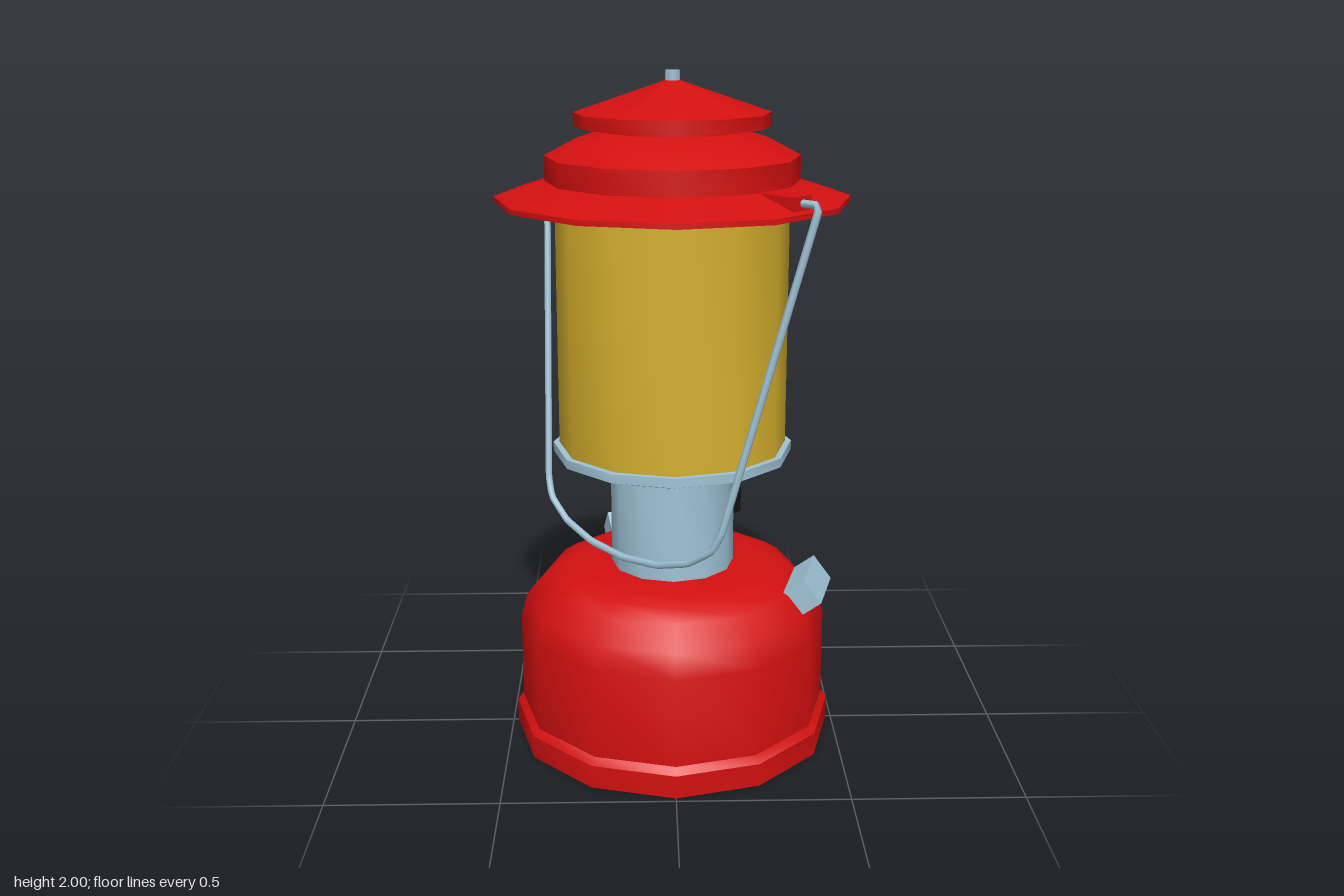
import * as THREE from 'three';
import { toCreasedNormals } from 'three/addons/utils/BufferGeometryUtils.js';

const material = (name, color) => {
  const m = new THREE.MeshStandardMaterial({ color });
  m.name = name;
  return m;
};

export function createModel() {
  const red = material('red enamel', 0xd41010);
  const steel = material('pale steel', 0x9fc3d6);
  const amber = material('amber glass', 0xd6b02e);
  const black = material('black rubber', 0x111111);

  const lantern = new THREE.Group();
  lantern.name = 'lantern';

  const add = (name, geometry, mat, parent = lantern) => {
    const mesh = new THREE.Mesh(geometry, mat);
    mesh.name = name;
    parent.add(mesh);
    return mesh;
  };
  // twelve-sided turned part, profile listed from bottom to top
  const turned = (name, mat, profile) => {
    const points = profile.map(([r, y]) => new THREE.Vector2(r, y));
    return add(name, toCreasedNormals(new THREE.LatheGeometry(points, 12), 0.62), mat);
  };
  // group turned so that its +z points outward at the given angle
  const facing = (name, angle) => {
    const g = new THREE.Group();
    g.name = name;
    g.rotation.y = angle;
    lantern.add(g);
    return g;
  };

  // Fuel tank with foot rim and rounded shoulder
  turned('fuelTank', red, [
    [0, 0], [0.485, 0], [0.485, 0.07], [0.466, 0.09], [0.466, 0.36],
    [0.445, 0.43], [0.39, 0.495], [0.345, 0.525], [0.29, 0.54], [0, 0.54],
  ]);

  // Column and flared globe seat
  turned('burnerColumn', steel, [
    [0.185, 0.53], [0.185, 0.83], [0.355, 0.89], [0.355, 0.917], [0, 0.917],
  ]);

  // Globe
  turned('glassGlobe', amber, [[0.337, 0.915], [0.337, 1.645]]);

  // Hood: brim, raised drum and neck
  turned('hood', red, [
    [0, 1.635], [0.51, 1.635], [0.51, 1.65], [0.365, 1.695], [0.365, 1.765],
    [0.27, 1.815], [0.205, 1.835], [0.205, 1.85],
  ]);
  turned('hoodCap', red, [[0, 1.847], [0.28, 1.847], [0.28, 1.885], [0.02, 1.973], [0, 1.975]]);
  turned('topNut', steel, [[0.021, 1.96], [0.021, 2], [0, 2]]);

  // Lugs holding the bail on the brim
  for (const angle of [Math.PI / 4, Math.PI * 1.25]) {
    const lug = add('bailLug', new THREE.BoxGeometry(0.075, 0.045, 0.13), red, facing('lugMount', angle));
    lug.position.set(0, 1.672, 0.41);
  }

  // Wire bail hanging to one side; s runs lug to lug, t is the sideways tilt
  const at = (s, y, t) => new THREE.Vector3((s - t) * Math.SQRT1_2, y, (s + t) * Math.SQRT1_2);
  const path = [at(-0.46, 1.675, 0), at(-0.525, 1.675, 0), at(-0.53, 1.655, 0.005)];
  for (let i = 0; i <= 8; i++) {
    const a = (i / 8) * Math.PI;
    path.push(at(-0.36 * Math.cos(a), 0.77 - 0.165 * Math.sin(a), 0.177 + 0.033 * Math.sin(a)));
  }
  path.push(at(0.53, 1.655, 0.005), at(0.525, 1.675, 0), at(0.46, 1.675, 0));
  const bail = new THREE.CatmullRomCurve3(path, false, 'catmullrom', 0.05);
  add('wireBail', new THREE.TubeGeometry(bail, 140, 0.011, 6), steel);

  // Valve knob on the column
  const knob = add('valveKnob', new THREE.BoxGeometry(0.105, 0.095, 0.085), black, facing('knobMount', Math.PI * 0.75));
  knob.position.set(0, 0.688, 0.212);

  // Filler cap and pump block on the tank shoulder, tilted outward
  for (const [name, degrees] of [['fillerCap', 75], ['pumpBlock', 195]]) {
    const block = add(name, new THREE.BoxGeometry(0.2, 0.088, 0.075), steel,
      facing(name + 'Mount', THREE.MathUtils.degToRad(degrees)));
    block.position.set(0, 0.494, 0.418);
    block.rotation.x = -0.66;
  }

  return lantern;
}
